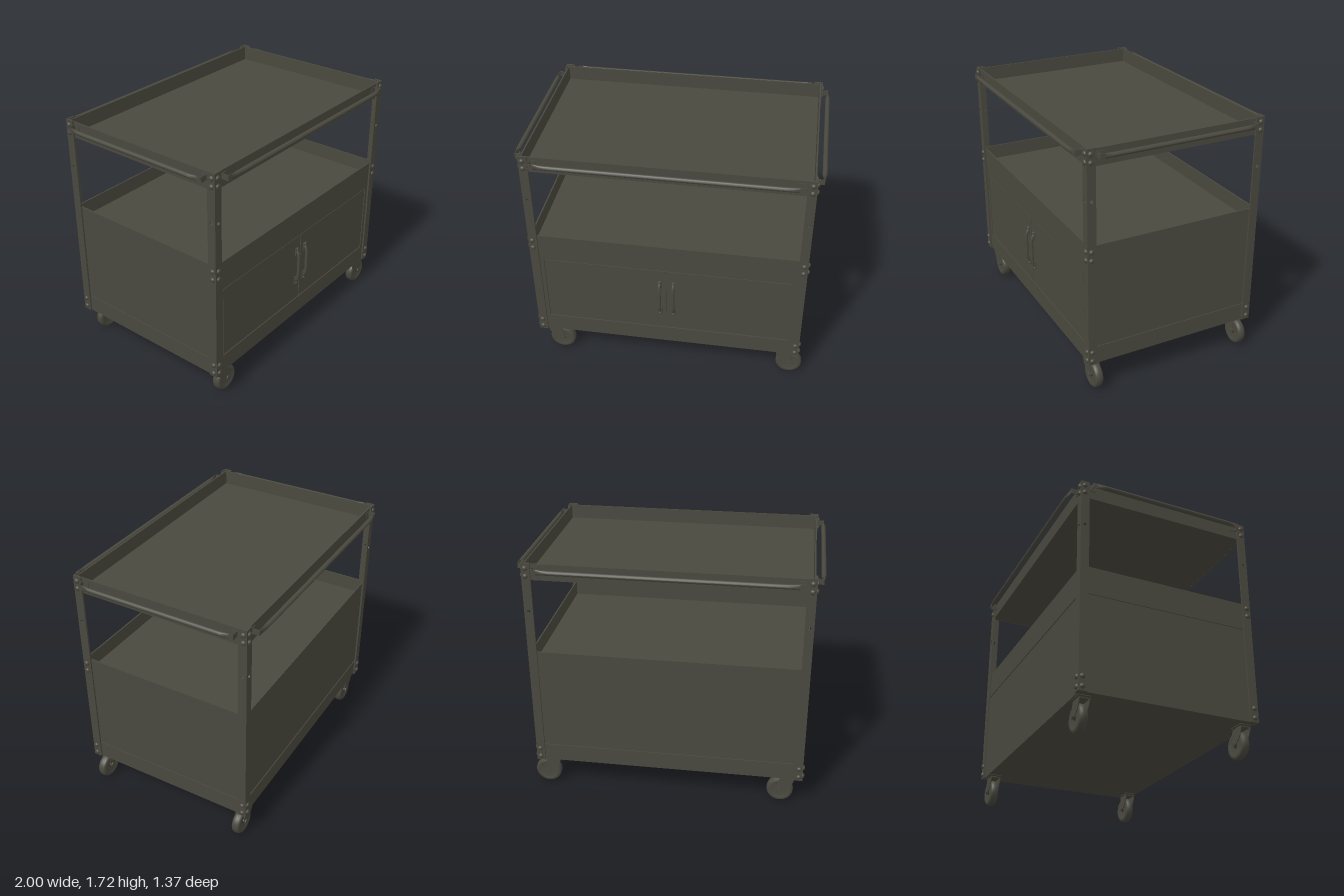
import * as THREE from 'three';

const steel = new THREE.MeshStandardMaterial({ color: 0x4a493f });
steel.name = 'olive grey steel';

function add(parent, name, geometry, x = 0, y = 0, z = 0) {
  const mesh = new THREE.Mesh(geometry, steel);
  mesh.name = name;
  mesh.position.set(x, y, z);
  parent.add(mesh);
  return mesh;
}

function box(parent, name, w, h, d, x, y, z) {
  return add(parent, name, new THREE.BoxGeometry(w, h, d), x, y, z);
}

function group(parent, name) {
  const g = new THREE.Group();
  g.name = name;
  parent.add(g);
  return g;
}

function rectangle(Type, x0, y0, x1, y1) {
  return new Type([[x0, y0], [x1, y0], [x1, y1], [x0, y1]].map(p => new THREE.Vector2(...p)));
}

const extrude = (shape, depth) =>
  new THREE.ExtrudeGeometry(shape, { depth, bevelEnabled: false, curveSegments: 12 });

const HX = 0.934, HZ = 0.617, T = 0.01; // outer half sizes and sheet thickness

// Four thin walls around the body; the front one is optional
function walls(parent, name, y0, y1, hx, hz, front = true) {
  const h = y1 - y0, y = (y0 + y1) / 2;
  for (const s of [-1, 1]) {
    box(parent, name + 'Side', T, h, 2 * hz - 2 * T, s * (hx - T / 2), y, 0);
    if (s < 0 || front) box(parent, name + (s > 0 ? 'Front' : 'Back'), 2 * hx, h, T, 0, y, s * (hz - T / 2));
  }
}

function tray(parent, name, y0, y1, floorY) {
  const g = group(parent, name);
  walls(g, 'rim', y0, y1, HX, HZ);
  box(g, 'floor', 2 * (HX - T), T, 2 * (HZ - T), 0, floorY, 0);
}

// Angle-iron leg: two drilled plates meeting at the corner
function leg(parent, sx, sz) {
  const g = group(parent, 'leg');
  const shape = rectangle(THREE.Shape, -0.03, 0.21, 0.03, 1.72);
  const hole = new THREE.Path();
  hole.absarc(0, 1.38, 0.012, 0, Math.PI * 2, true);
  shape.holes.push(hole);
  const plate = extrude(shape, 0.012).translate(0, 0, -0.006);
  add(g, 'facePlate', plate, sx * 0.915, 0, sz * 0.624);
  add(g, 'sidePlate', plate, sx * 0.939, 0, sz * 0.6).rotation.y = Math.PI / 2;

  // Domed bolts on both plates
  const rows = [0.24, 0.305, 1.63, 1.685];
  if (sz > 0) rows.push(0.98, 1.04);
  const bolt = new THREE.SphereGeometry(0.018, 12, 8).scale(1, 1, 0.75);
  for (const y of rows) {
    add(g, 'bolt', bolt, sx * 0.918, y, sz * 0.63);
    add(g, 'bolt', bolt, sx * 0.945, y, sz * 0.604).rotation.y = Math.PI / 2;
  }
}

// Round push rail with flattened ends and bent mounting straps
function rail(parent, half, reach, wall, turn) {
  const g = group(parent, 'pushRail');
  const geo = new THREE.CylinderGeometry(0.016, 0.016, 2 * half, 14, 40).rotateZ(Math.PI / 2);
  const p = geo.attributes.position;
  for (let i = 0; i < p.count; i++) {
    const k = Math.min(1, Math.max(0.12, (half - Math.abs(p.getX(i))) / 0.05));
    p.setZ(i, p.getZ(i) * k);
    p.setY(i, p.getY(i) * (1 + 0.25 * (1 - k)));
  }
  geo.computeVertexNormals();
  add(g, 'bar', geo, 0, 1.675, reach);
  for (const s of [-1, 1]) {
    box(g, 'strapEnd', 0.03, 0.038, 0.004, s * (half + 0.013), 1.675, reach);
    box(g, 'strapArm', 0.004, 0.038, reach - wall, s * (half + 0.026), 1.675, (reach + wall) / 2);
    box(g, 'strapFoot', 0.04, 0.038, 0.005, s * (half + 0.008), 1.675, wall + 0.002);
  }
  g.rotation.y = turn;
}

// Swivel caster with the wheel trailing toward +x
function caster(parent, x, z) {
  const g = group(parent, 'caster');
  g.position.set(x, 0, z);
  const profile = [[0.018, -0.022], [0.06, -0.022], [0.064, -0.028], [0.082, -0.028], [0.091, -0.018],
    [0.093, 0], [0.091, 0.018], [0.082, 0.028], [0.064, 0.028], [0.06, 0.022], [0.018, 0.022]];
  const wheel = new THREE.LatheGeometry(profile.map(p => new THREE.Vector2(...p)), 36).rotateX(Math.PI / 2);
  add(g, 'wheel', wheel, 0.045, 0.093, 0);
  const axle = new THREE.CylinderGeometry(0.016, 0.016, 0.088, 12).rotateX(Math.PI / 2);
  add(g, 'axle', axle, 0.045, 0.1, 0);

  const side = new THREE.Shape();
  side.moveTo(-0.05, 0.194);
  side.quadraticCurveTo(-0.045, 0.13, 0.028, 0.09);
  side.quadraticCurveTo(0.045, 0.07, 0.064, 0.09);
  side.lineTo(0.06, 0.15);
  side.lineTo(0.05, 0.194);
  const cheek = extrude(side, 0.005);
  for (const s of [-1, 1]) add(g, 'forkCheek', cheek, 0, 0, s * 0.034 - 0.0025);
  box(g, 'forkCrown', 0.1, 0.006, 0.073, 0, 0.194, 0);
  add(g, 'swivel', new THREE.CylinderGeometry(0.03, 0.03, 0.016, 20), 0, 0.202, 0);
  box(g, 'mountPlate', 0.11, 0.005, 0.085, 0, 0.208, 0);
}

// Door pull: two foot plates joined by a bowed bar
function handle(parent, x) {
  const g = group(parent, 'doorHandle');
  const path = new THREE.CatmullRomCurve3([[0.5, 0.615], [0.525, 0.631], [0.56, 0.638], [0.63, 0.638],
    [0.7, 0.638], [0.735, 0.631], [0.76, 0.615]].map(([y, z]) => new THREE.Vector3(x, y, z)));
  add(g, 'grip', new THREE.TubeGeometry(path, 28, 0.011, 10), 0, 0, 0);
  for (const y of [0.508, 0.746]) {
    box(g, 'footPlate', 0.032, 0.06, 0.008, x, y, 0.619);
    add(g, 'screw', new THREE.SphereGeometry(0.009, 10, 6), x, y + Math.sign(y - 0.63) * 0.022, 0.623);
  }
}

export function createModel() {
  const cart = new THREE.Group();
  cart.name = 'utilityCart';

  // Shelves
  tray(cart, 'topTray', 1.6, 1.712, 1.606);
  tray(cart, 'bottomTray', 0.21, 0.335, 0.215);
  const middle = group(cart, 'middleTray');
  walls(middle, 'rim', 0.88, 1.075, HX, HZ);
  box(middle, 'floor', 2 * (HX - T), T, 2 * (HZ - T), 0, 0.965, 0);

  // Cabinet panels, set slightly behind the tray rims
  walls(cart, 'cabinetPanel', 0.335, 0.88, HX - 0.006, HZ - 0.006, false);

  // Door frame with a dark gap behind the door edges
  const frame = rectangle(THREE.Shape, -HX, 0.335, HX, 0.88);
  frame.holes.push(rectangle(THREE.Path, -0.858, 0.34, 0.858, 0.87));
  add(cart, 'doorFrame', extrude(frame, T), 0, 0, HZ - T);
  box(cart, 'doorBacking', 1.8, 0.54, 0.006, 0, 0.605, HZ - 0.018);
  for (const s of [-1, 1]) {
    box(cart, 'door', 0.847, 0.518, 0.012, s * 0.4275, 0.605, HZ - 0.008);
    handle(cart, s * 0.048);
  }

  for (const sx of [-1, 1]) {
    for (const sz of [-1, 1]) {
      leg(cart, sx, sz);
      caster(cart, sx * 0.838, sz * 0.564);
    }
  }

  // Rails on all four sides
  for (const s of [0, 1]) {
    rail(cart, 0.84, 0.668, HZ, s * Math.PI);
    rail(cart, 0.532, 0.984, HX, Math.PI / 2 + s * Math.PI);
  }
  return cart;
}
